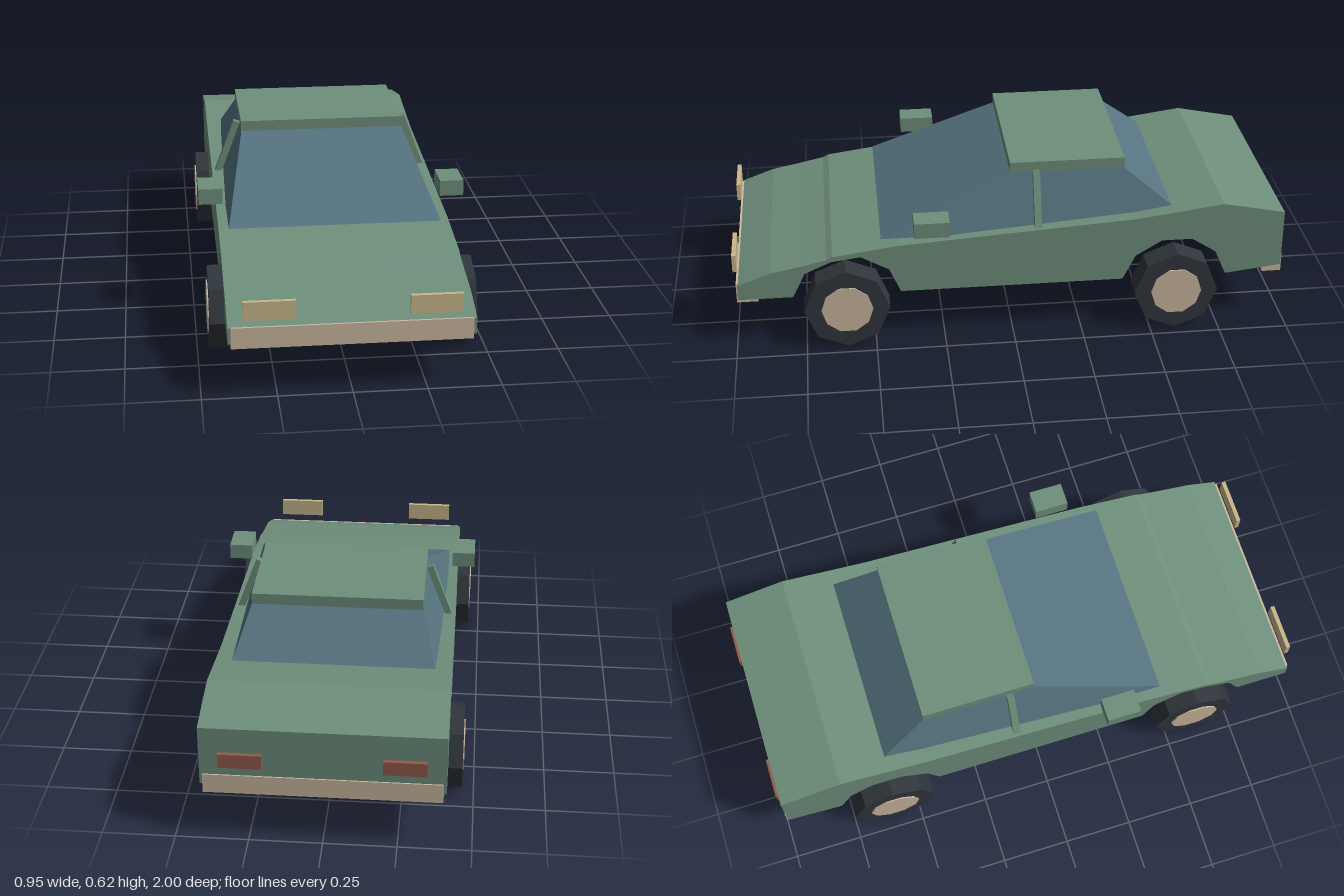
import * as THREE from 'three';

const mat = (name, color) => {
  const m = new THREE.MeshStandardMaterial({ color });
  m.name = name;
  return m;
};

export function createModel() {
  const car = new THREE.Group();
  car.name = 'car';
  const green = mat('green paint', 0x6f8f7c);
  const glass = mat('blue glass', 0x55737f);
  const rubber = mat('dark rubber', 0x30363c);
  const tan = mat('tan trim', 0xcbb8a0);
  const lamp = mat('yellow lamp', 0xc9b88a);
  const red = mat('red lamp', 0x945a49);

  const add = (name, geo, material, x = 0, y = 0, z = 0) => {
    const m = new THREE.Mesh(geo, material);
    m.name = name;
    m.position.set(x, y, z);
    car.add(m);
    return m;
  };
  // Box given by its extents along each axis
  const box = (name, material, [x0, x1], [y0, y1], [z0, z1]) =>
    add(name, new THREE.BoxGeometry(x1 - x0, y1 - y0, z1 - z0), material,
      (x0 + x1) / 2, (y0 + y1) / 2, (z0 + z1) / 2);

  // Body: side profile (z, y) with wheel arches, extruded across the width
  const profile = [
    [0.985, 0.245], [0.866, 0.289], [0.76, 0.31], [0.667, 0.331], [0.645, 0.342],
    [0.41, 0.374], [-0.44, 0.431], [-0.58, 0.449], [-0.76, 0.474], [-0.985, 0.428],
    [-0.985, 0.212], [-0.78, 0.187],
    [-0.74, 0.28], [-0.65, 0.338], [-0.54, 0.338], [-0.445, 0.28], [-0.40, 0.187],
    [0.405, 0.187],
    [0.445, 0.28], [0.545, 0.336], [0.65, 0.322], [0.745, 0.28], [0.79, 0.187],
    [0.985, 0.187],
  ].map(([z, y]) => new THREE.Vector2(z, y));
  const bodyGeo = new THREE.ExtrudeGeometry(new THREE.Shape(profile), { depth: 0.82, bevelEnabled: false });
  bodyGeo.rotateY(-Math.PI / 2).translate(0.41, 0, 0);
  add('body', bodyGeo, green);

  // Cabin glass: a box tapered toward the roof
  const cabinGeo = new THREE.BoxGeometry(1, 1, 1);
  const p = cabinGeo.attributes.position;
  for (let i = 0; i < p.count; i++) {
    const top = p.getY(i) > 0, front = p.getZ(i) > 0;
    p.setXYZ(i, Math.sign(p.getX(i)) * (top ? 0.3 : 0.375), top ? 0.587 : 0.385,
      top ? (front ? 0 : -0.41) : (front ? 0.47 : -0.66));
  }
  cabinGeo.computeVertexNormals();
  add('cabinGlass', cabinGeo, glass);
  box('roof', green, [-0.301, 0.301], [0.585, 0.625], [-0.413, 0]);

  // Bumpers
  box('frontBumper', tan, [-0.4, 0.4], [0.172, 0.246], [0.915, 0.99]);
  box('rearBumper', tan, [-0.4, 0.4], [0.18, 0.25], [-0.99, -0.92]);

  for (const s of [1, -1]) {
    const side = s > 0 ? 'left' : 'right';
    const span = (a, b) => (s > 0 ? [a, b] : [-b, -a]);
    box(side + 'Headlight', lamp, span(0.187, 0.36), [0.274, 0.34], [0.985, 1]);
    box(side + 'TailLight', red, span(0.2, 0.345), [0.286, 0.337], [-1, -0.98]);
    box(side + 'Mirror', green, span(0.39, 0.475), [0.435, 0.492], [0.23, 0.355]);

    // Leaning pillar between the side windows
    const pillar = add(side + 'Pillar', new THREE.BoxGeometry(0.024, 0.21, 0.025), green,
      s * 0.35, 0.5, -0.092);
    pillar.rotation.z = s * Math.atan2(0.075, 0.2);

    // Eight-sided tyres with hubs showing on both faces
    for (const [end, z] of [['Front', 0.6], ['Rear', -0.59]]) {
      const cyl = (r, w, n) => {
        const g = new THREE.CylinderGeometry(r, r, w, n).toNonIndexed();
        g.rotateZ(Math.PI / 2);
        g.computeVertexNormals();
        return g;
      };
      add(side + end + 'Tyre', cyl(0.153, 0.09, 8), rubber, s * 0.414, 0.153, z);
      add(side + end + 'Hub', cyl(0.092, 0.099, 10), tan, s * 0.414, 0.153, z);
    }
  }
  return car;
}
